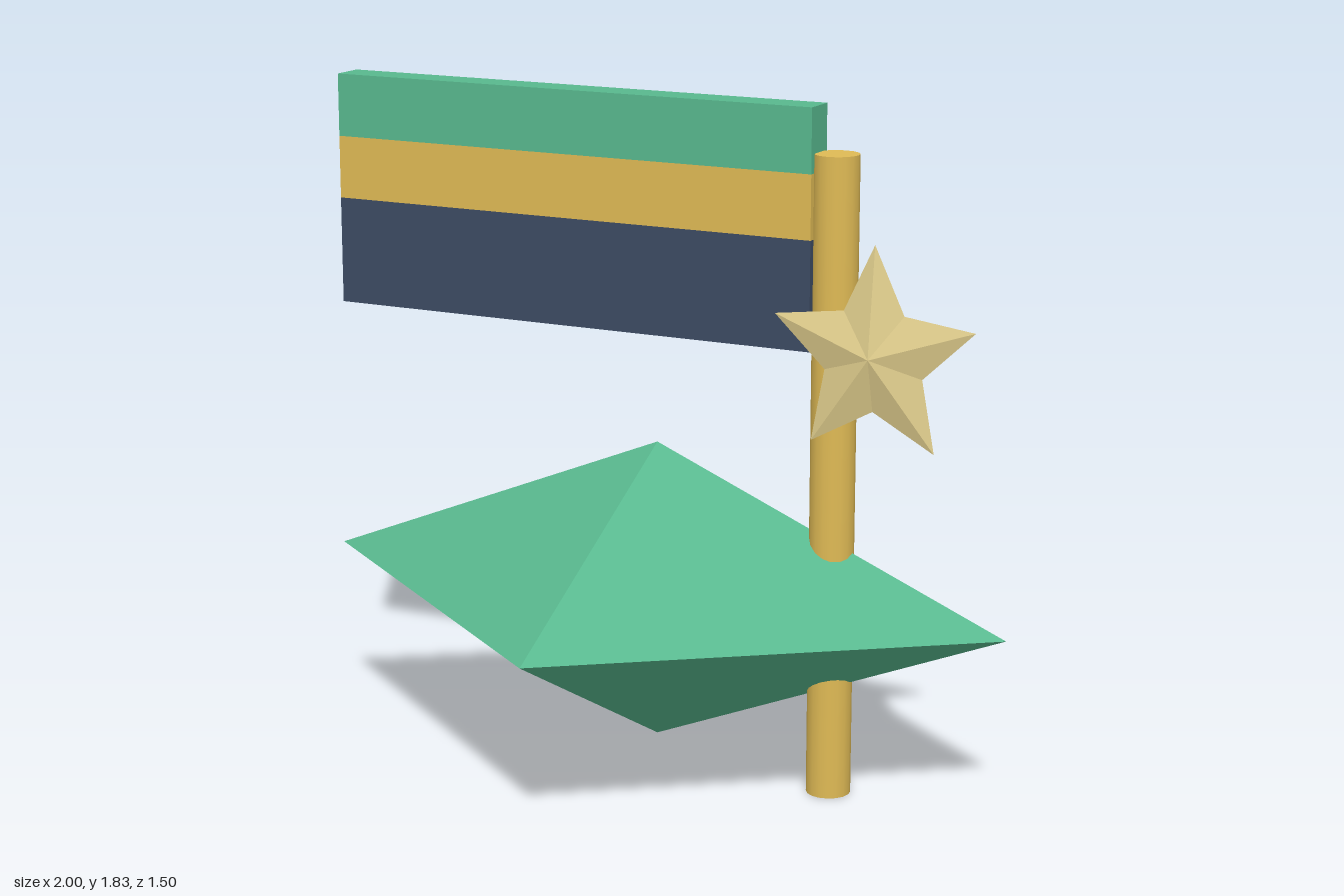
import * as THREE from 'three';

const GREEN = 0x58b88e, GOLD = 0xdfba55, NAVY = 0x3d4b63, PALE_GOLD = 0xe3d08f;

function part(name, geometry, color, flatShading = true) {
  const mesh = new THREE.Mesh(geometry, new THREE.MeshStandardMaterial({ color, flatShading }));
  mesh.name = name;
  return mesh;
}

// Faceted star: a ring of alternating radii joined to a front and a back apex
function starGeometry(points, outer, inner, depth) {
  const rim = [];
  for (let i = 0; i < points * 2; i++) {
    const r = i % 2 ? inner : outer;
    const a = Math.PI / 2 + (i * Math.PI) / points;
    rim.push([r * Math.cos(a), r * Math.sin(a), 0]);
  }
  const position = [];
  rim.forEach((p, i) => {
    const q = rim[(i + 1) % rim.length];
    position.push(...p, ...q, 0, 0, depth);
    position.push(...q, ...p, 0, 0, -depth);
  });
  const geometry = new THREE.BufferGeometry();
  geometry.setAttribute('position', new THREE.Float32BufferAttribute(position, 3));
  geometry.computeVertexNormals();
  return geometry;
}

export function createModel() {
  const model = new THREE.Group();
  model.name = 'flagWithDiamond';

  // Stretched octahedron pierced by the pole
  const diamond = part('diamond', new THREE.OctahedronGeometry(1).scale(1, 0.41, 0.752), GREEN);
  diamond.position.y = 0.49;
  model.add(diamond);

  // Pole
  const pole = part('pole', new THREE.CylinderGeometry(0.059, 0.059, 1.71, 16), GOLD, false);
  pole.position.set(0.51, 0.855, 0);
  model.add(pole);

  // Flag stripes: bottom, top, colour
  const flag = new THREE.Group();
  flag.name = 'flag';
  const stripes = [
    ['topStripe', 1.66, 1.83, GREEN],
    ['middleStripe', 1.49, 1.66, GOLD],
    ['bottomStripe', 1.2, 1.49, NAVY],
  ];
  for (const [name, bottom, top, color] of stripes) {
    const stripe = part(name, new THREE.BoxGeometry(1.41, top - bottom, 0.094), color);
    stripe.position.set(-0.245, (bottom + top) / 2, 0);
    flag.add(stripe);
  }
  model.add(flag);

  // Star in front of the pole
  const star = part('star', starGeometry(5, 0.287, 0.14, 0.036), PALE_GOLD);
  star.position.set(0.67, 1.223, 0.122);
  model.add(star);

  return model;
}
